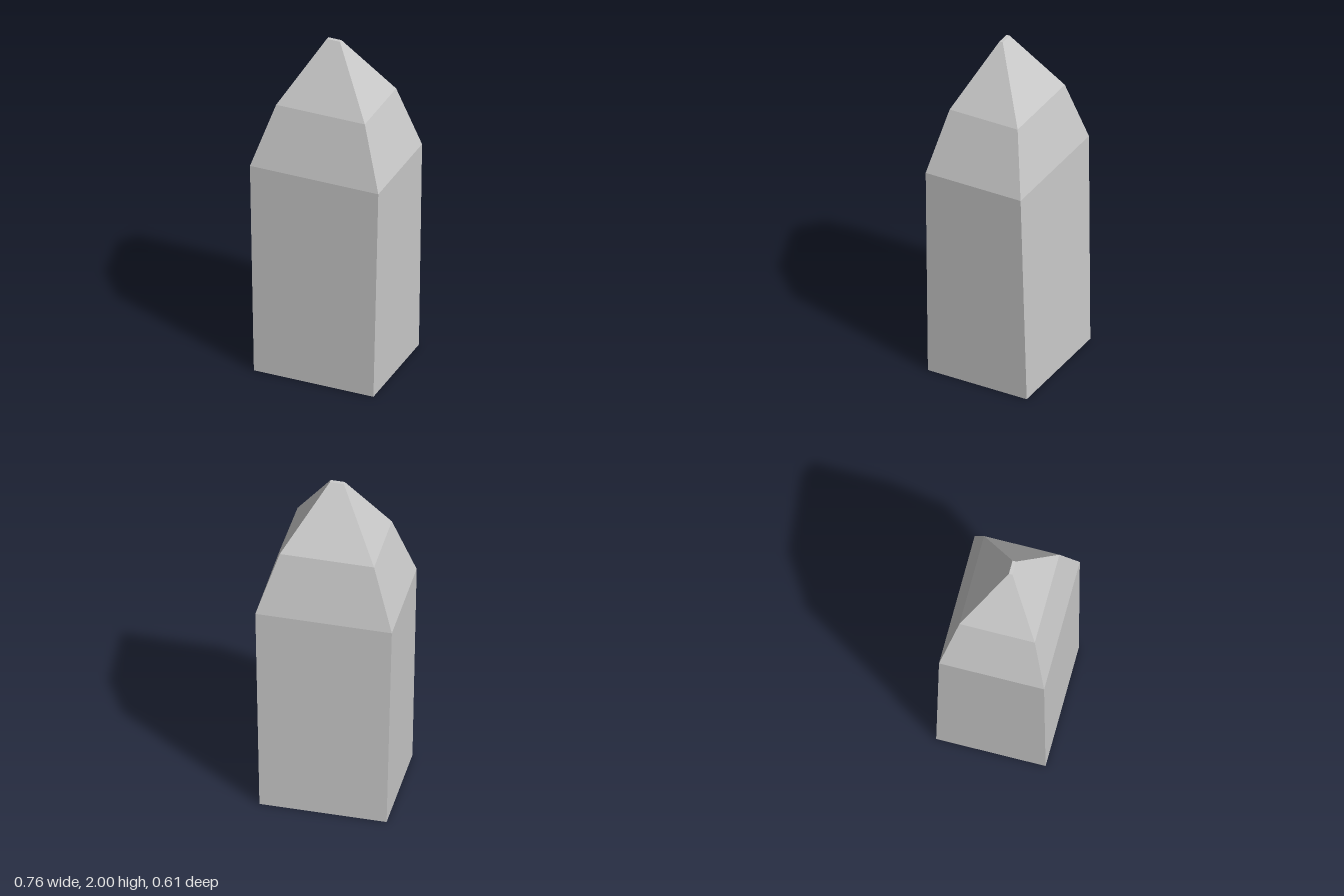
import * as THREE from 'three';

// Rectangular cross-sections from base to tip
const SECTIONS = [
  { y: 0, x: [-0.354, 0.35], z: [-0.305, 0.305] },
  { y: 1.27, x: [-0.378, 0.378], z: [-0.283, 0.303] },
  { y: 1.635, x: [-0.26, 0.262], z: [-0.2, 0.22] },
  { y: 2, x: [-0.042, 0.036], z: [0.018, 0.038] },
];

// Box with one ring of corners per section, each ring moved to its section
function sectionedBlock(sections) {
  const steps = sections.length - 1;
  const box = new THREE.BoxGeometry(1, 1, 1, 1, steps, 1);
  const pos = box.attributes.position;
  for (let i = 0; i < pos.count; i++) {
    const s = sections[Math.round((pos.getY(i) + 0.5) * steps)];
    pos.setXYZ(i, s.x[pos.getX(i) > 0 ? 1 : 0], s.y, s.z[pos.getZ(i) > 0 ? 1 : 0]);
  }
  const geometry = box.toNonIndexed();
  geometry.computeVertexNormals();
  return geometry;
}

export function createModel() {
  const group = new THREE.Group();
  group.name = 'pointedPost';

  // Flared shaft with a two-stage tapered point
  const material = new THREE.MeshStandardMaterial({ color: 0xcccccc, flatShading: true });
  const post = new THREE.Mesh(sectionedBlock(SECTIONS), material);
  post.name = 'post';
  group.add(post);

  return group;
}
